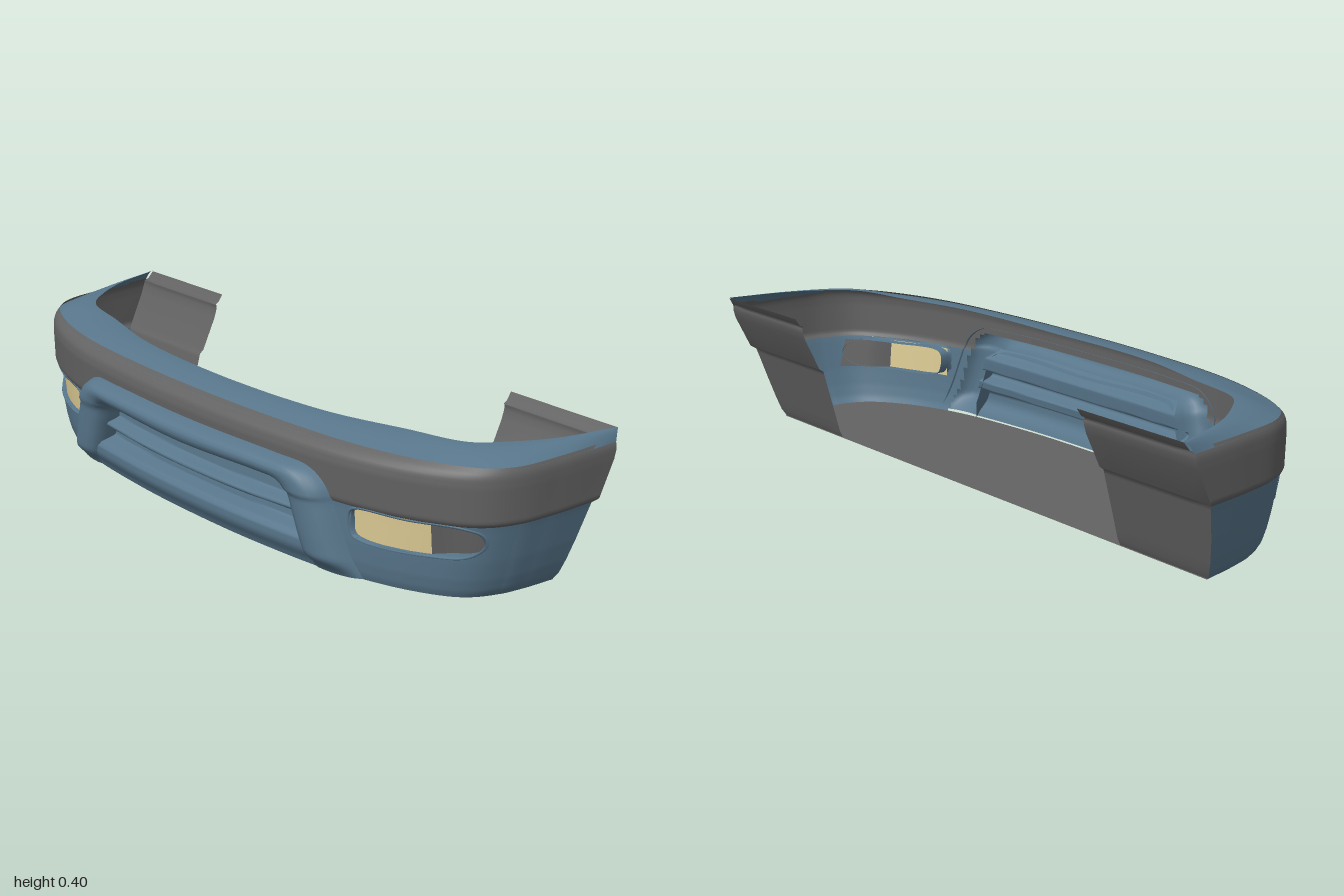
import * as THREE from 'three';

const BLUE = 0x58768b, GREY = 0x626262, YELLOW = 0xdccb94;
const V = (x, y, z) => new THREE.Vector3(x, y, z);
const spline = pts => new THREE.CatmullRomCurve3(pts.map(([a, b]) => V(a, b, 0)), false, 'centripetal');

// Piecewise-linear lookup in rows of [key, value, ...]
function lookup(table, key, col = 1) {
  for (let i = 1; i < table.length; i++) {
    const a = table[i - 1], b = table[i];
    if (key <= b[0] || i === table.length - 1) {
      const k = THREE.MathUtils.clamp((key - a[0]) / (b[0] - a[0]), 0, 1);
      return a[col] + (b[col] - a[col]) * k;
    }
  }
}

// Smooth sheet through rows of points; skip(centre) leaves a hole
function loft(name, rows, color, skip = () => false) {
  const n = rows[0].length, index = [];
  for (let r = 0; r < rows.length - 1; r++) {
    for (let c = 0; c < n - 1; c++) {
      const a = r * n + c;
      const centre = rows[r][c].clone().add(rows[r + 1][c + 1]).multiplyScalar(0.5);
      if (!skip(centre)) index.push(a, a + 1, a + n + 1, a, a + n + 1, a + n);
    }
  }
  const geo = new THREE.BufferGeometry().setFromPoints(rows.flat());
  geo.setIndex(index);
  geo.computeVertexNormals();
  const mesh = new THREE.Mesh(geo, new THREE.MeshStandardMaterial({ color, side: THREE.DoubleSide }));
  mesh.name = name;
  return mesh;
}
const steps = (a, b, n) => Array.from({ length: n + 1 }, (_, i) => a + (b - a) * i / n);

// Half plan curves (x, z), centre to rear: outer face and inner edge of the top flange
const plan = spline([[-0.3, 0.28], [0, 0.29], [0.3, 0.28], [0.6, 0.243], [0.8, 0.175], [0.92, 0.095],
  [0.967, 0.01], [0.988, -0.14], [1, -0.345]]);
const inner = spline([[-0.22, 0.143], [0, 0.147], [0.22, 0.143], [0.42, 0.122], [0.62, 0.07], [0.8, 0.02],
  [0.87, -0.06], [0.93, -0.17], [0.98, -0.345]]);
const at = (curve, t) => curve.getPoint((1 + 7 * t) / 8);

// Height levels: y, width scale, front depth scale, rear end z
const LEVELS = [
  [0, 0.925, 0.91, -0.185], [0.02, 0.937, 0.93, -0.195], [0.06, 0.95, 0.95, -0.206],
  [0.12, 0.965, 0.96, -0.222], [0.21, 0.983, 0.965, -0.247], [0.222, 0.986, 0.968, -0.25],
  [0.232, 0.998, 0.99, -0.264], [0.33, 1, 1, -0.312], [0.355, 0.999, 0.98, -0.32],
  [0.368, 0.996, 0.93, -0.322], [0.38, 0.989, 0.84, -0.325]];

// Point on the bumper face, t from -1 (right rear) to 1 (left rear)
function face(t, y) {
  const p = at(plan, Math.abs(t));
  const z = p.y > 0 ? p.y * lookup(LEVELS, y, 2) : p.y / -0.345 * lookup(LEVELS, y, 3);
  const lift = 0.015 * (z + 0.19) / 0.47 * Math.max(0, 1 - y / 0.1);
  return V(Math.sign(t) * p.x * lookup(LEVELS, y, 1), y + lift, z);
}

// Depth of the face at a given x and y
function faceZ(x, y) {
  let a = 0, b = 1;
  for (let i = 0; i < 22; i++) {
    const m = (a + b) / 2;
    if (face(m, y).x < Math.abs(x)) a = m; else b = m;
  }
  return face(a, y).z;
}
const onFace = (x, y, off) => V(x, y, faceZ(x, y) + off);

// Central nose frame: half outlines [x, y] from the foot to the middle of the top
const NOSE_OUT = [[0.62, 0.015], [0.585, 0.1], [0.55, 0.2], [0.525, 0.26], [0.47, 0.3], [0.35, 0.308], [0, 0.308]];
const NOSE_IN = [[0.48, 0.015], [0.455, 0.08], [0.425, 0.17], [0.405, 0.225], [0.38, 0.245], [0.3, 0.25], [0, 0.242]];
const swap = pts => pts.map(([x, y]) => [y, x]);
const mirrorPath = pts => spline([...pts, ...pts.slice(0, -1).reverse().map(([x, y]) => [-x, y])]);
const noseFade = y => 0.25 + 0.75 * THREE.MathUtils.smoothstep(y, 0.01, 0.075);

// Fog light opening on the left side
const LAMP = new THREE.CatmullRomCurve3([[0.605, 0.217], [0.59, 0.2], [0.598, 0.142], [0.625, 0.129],
  [0.8, 0.126], [0.885, 0.135], [0.914, 0.165], [0.912, 0.2], [0.875, 0.217], [0.75, 0.219]]
  .map(([x, y]) => V(x, y, 0)), true).getPoints(60);
function inLamp(x, y) {
  let inside = false;
  for (let i = 0; i < LAMP.length - 1; i++) {
    const a = LAMP[i], b = LAMP[i + 1];
    if ((a.y > y) !== (b.y > y) && x < a.x + (b.x - a.x) * (y - a.y) / (b.y - a.y)) inside = !inside;
  }
  return inside;
}
function isCut(p) {
  const x = Math.abs(p.x);
  if (p.z < 0) return false;
  return (p.y < 0.285 && x < lookup(swap(NOSE_OUT), p.y) - 0.03) || inLamp(x, p.y);
}

export function createModel() {
  const group = new THREE.Group();
  const ts = steps(-1, 1, 220);

  // Main face: lower skin and grey upper band
  const skin = (name, y0, y1, n, color) =>
    group.add(loft(name, steps(y0, y1, n).map(y => ts.map(t => face(t, y))), color, isCut));
  skin('lowerSkin', 0, 0.222, 26, BLUE);
  skin('upperBand', 0.222, 0.38, 22, GREY);

  // Top flange sweeping inward and slightly up
  group.add(loft('topFlange', steps(0, 1, 8).map(k => ts.map(t => {
    const e = at(inner, Math.abs(t));
    const p = face(t, 0.372).lerp(V(Math.sign(t) * e.x, 0, e.y), k);
    const h = 0.392 + 0.012 * Math.min(1, Math.abs(t) * 1.5);
    p.y = 0.372 + (h - 0.372) * Math.sin(k * Math.PI / 2);
    return p;
  })), BLUE));

  // Floor, straight along the back
  group.add(loft('floor', [0, 0.5, 1].map(k => ts.map(t => {
    const p = face(t, 0);
    return p.clone().lerp(V(p.x, 0, -0.19), k);
  })), GREY));

  // Nose frame around the grille
  const out = mirrorPath(NOSE_OUT), inn = mirrorPath(NOSE_IN);
  const rings = [[0, -0.005], [0.05, 0.012], [0.12, 0.03], [0.22, 0.042], [0.36, 0.05], [0.55, 0.052],
    [0.75, 0.047], [0.9, 0.038], [1, 0.022], [1.05, 0], [1.08, -0.035]];
  group.add(loft('noseFrame', rings.map(([k, off]) => steps(0, 1, 110).map(s => {
    const p = out.getPoint(s).lerp(inn.getPoint(s), k);
    return onFace(p.x, p.y, off * noseFade(p.y));
  })), BLUE));

  // Grille recess: bowed bar and lower lip, given as depth over height
  const GRILLE = [[0.015, 0.02], [0.05, 0.025], [0.09, 0.024], [0.105, 0.012], [0.118, -0.03], [0.145, -0.035],
    [0.155, -0.002], [0.162, 0.005], [0.17, 0.002], [0.182, -0.035], [0.225, -0.04], [0.24, -0.02], [0.255, 0]];
  group.add(loft('grille', steps(0.015, 0.25, 56).map(y => {
    const w = lookup(swap(NOSE_IN.slice(0, 5)), y) + 0.004;
    return steps(-1, 1, 50).map(u => {
      const bow = y > 0.11 ? 0.008 * (1 - u * u) : 0;
      return onFace(u * w, y, lookup(GRILLE, y + bow) * noseFade(y));
    });
  }), BLUE));

  for (const side of [1, -1]) {
    const label = side > 0 ? 'left' : 'right';
    const patch = (name, x0, x1, y0, y1, off, color) => group.add(loft(label + name,
      steps(y0, y1, 6).map(y => steps(x0, x1, 12).map(x => onFace(side * x, y, off(x)))), color));

    // Fog light: rim, lens and outer pocket
    const rim = [[1.04, 0.001], [1.02, 0.004], [0.97, 0.003], [0.95, -0.012], [0.95, -0.042]];
    group.add(loft(label + 'LampRim', rim.map(([s, off]) => LAMP.map(p => {
      const x = 0.755 + (p.x - 0.755) * (1 + (s - 1) * 0.5), y = 0.172 + (p.y - 0.172) * (1 + (s - 1) * 1.6);
      return onFace(side * x, y, off);
    })), BLUE));
    patch('FogLens', 0.597, 0.8, 0.128, 0.217, () => -0.012, YELLOW);
    patch('LampPocket', 0.8, 0.912, 0.13, 0.217,
      x => -0.012 - 0.028 * Math.sin(Math.min(1, (x - 0.8) / 0.05) * Math.PI / 2), GREY);

    // Rear closing panel, following the slanted side edge, with a lip on top
    const edge = [...LEVELS.slice(0, -1).map(r => [r[0], r[1], r[3]]),
      [0.374, 0.99, -0.318], [0.38, 0.986, -0.33], [0.402, 0.98, -0.345]];
    group.add(loft(label + 'RearPanel',
      edge.map(([y, w, z]) => steps(0.615, w, 6).map(x => V(side * x, y, z))), GREY));
  }
  return group;
}
